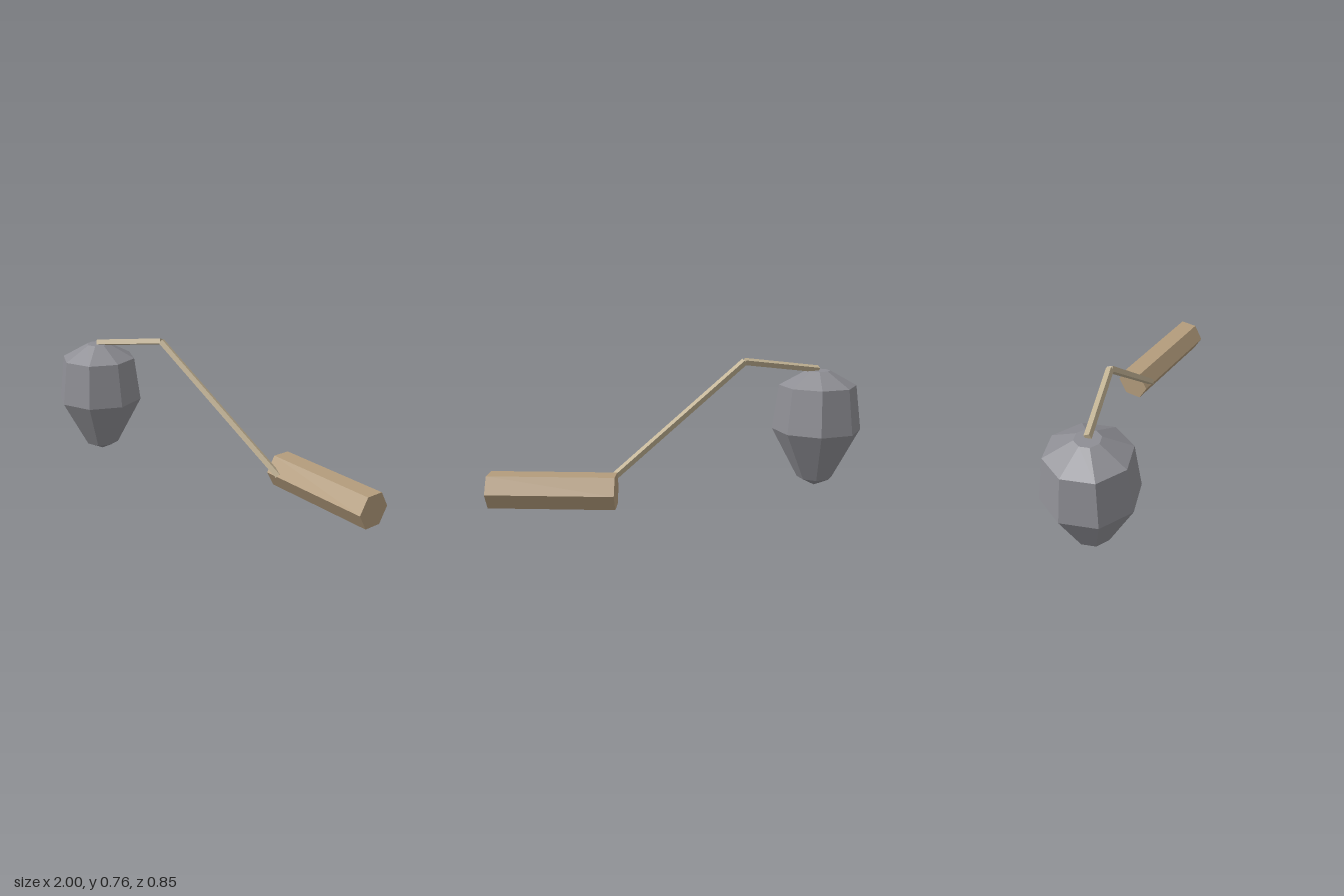
import * as THREE from 'three';

const material = (color) => new THREE.MeshStandardMaterial({ color, flatShading: true });

// Square rod whose axis runs from a to b
function rod(name, a, b, thickness, mat) {
  const dir = b.clone().sub(a);
  const mesh = new THREE.Mesh(new THREE.BoxGeometry(thickness, dir.length(), thickness), mat);
  mesh.name = name;
  mesh.position.copy(a).add(b).multiplyScalar(0.5);
  mesh.quaternion.setFromUnitVectors(new THREE.Vector3(0, 1, 0), dir.normalize());
  return mesh;
}

export function createModel() {
  const group = new THREE.Group();
  group.name = 'plumbBob';

  // Eight-sided weight: tip, lower taper, widest ring, shoulder, flat cap
  const profile = [[0, 0], [0.1, 0.05], [0.25, 0.333], [0.217, 0.584], [0.067, 0.667], [0, 0.667]]
    .map(([r, y]) => new THREE.Vector2(r, y));
  const weight = new THREE.Mesh(new THREE.LatheGeometry(profile, 8), material(0x8e8e94));
  weight.name = 'weight';
  weight.position.set(-0.75, 0, 0.175);
  group.add(weight);

  // Cord: from the weight up to a bend, then down to the handle
  const cordMaterial = material(0xbfb092);
  const top = new THREE.Vector3(-0.75, 0.675, 0.175);
  const bend = new THREE.Vector3(-0.333, 0.738, 0.003);
  const end = new THREE.Vector3(0.41, 0.104, -0.238);
  group.add(rod('upperCord', top, bend, 0.029, cordMaterial));
  group.add(rod('lowerCord', bend, end, 0.029, cordMaterial));

  // Six-sided winding handle lying along x
  const handle = new THREE.Mesh(new THREE.CylinderGeometry(0.1, 0.1, 0.667, 6), material(0xb39c7c));
  handle.name = 'handle';
  handle.rotation.z = Math.PI / 2;
  handle.position.set(0.667, 0.101, -0.325);
  group.add(handle);

  return group;
}
